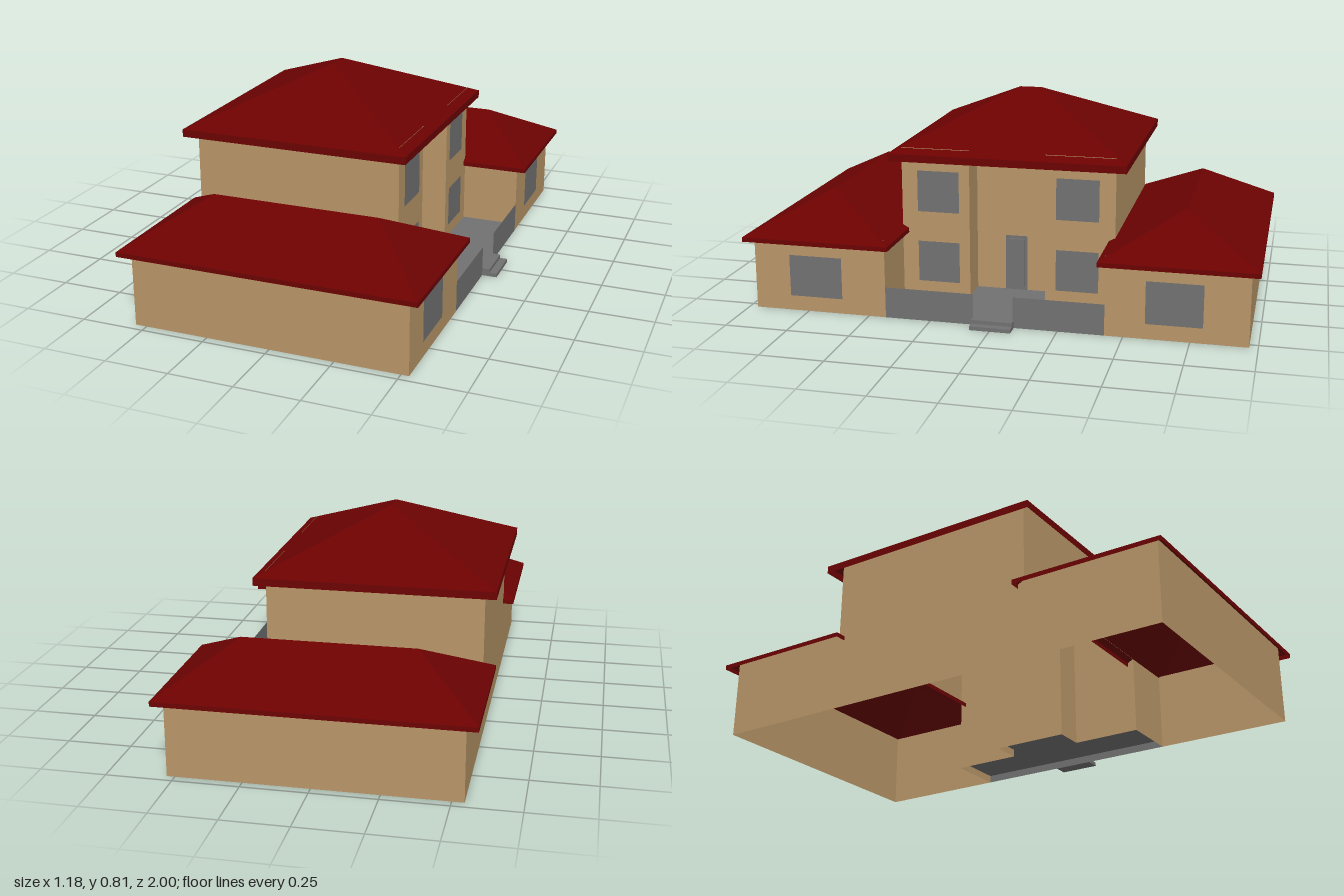
import * as THREE from 'three';

export function createModel() {
  const house = new THREE.Group();
  house.name = 'house';

  const wallMat = new THREE.MeshStandardMaterial({ name: 'tan wall', color: 0xb89668, side: THREE.DoubleSide });
  const roofMat = new THREE.MeshStandardMaterial({ name: 'dark red roof', color: 0x6c0202, side: THREE.DoubleSide });
  const greyMat = new THREE.MeshStandardMaterial({ name: 'grey stone and glass', color: 0x717171, side: THREE.DoubleSide });

  const add = (name, geometry, material) => {
    const mesh = new THREE.Mesh(geometry, material);
    mesh.name = name;
    house.add(mesh);
  };

  // Flat-faced geometry from convex faces given as corner lists
  const facets = (faces) => {
    const pos = [];
    for (const f of faces) {
      for (let i = 1; i < f.length - 1; i++) pos.push(...f[0], ...f[i], ...f[i + 1]);
    }
    const g = new THREE.BufferGeometry();
    g.setAttribute('position', new THREE.Float32BufferAttribute(pos, 3));
    g.computeVertexNormals();
    return g;
  };

  // Box given by its limits on each axis
  const block = (name, x0, x1, y0, y1, z0, z1) => {
    const g = new THREE.BoxGeometry(x1 - x0, y1 - y0, z1 - z0);
    g.translate((x0 + x1) / 2, (y0 + y1) / 2, (z0 + z1) / 2);
    add(name, g, greyMat);
  };

  // Upright sheet between two ground points, facing right of the walk from the second to the first
  const sheet = (name, x0, z0, x1, z1, y0, y1, material = wallMat) =>
    add(name, facets([[[x0, y0, z0], [x1, y0, z1], [x1, y1, z1], [x0, y1, z0]]]), material);

  // Sheet facing +x, such as a front wall or a pane
  const frontSheet = (name, x, za, zb, y0, y1, material) =>
    sheet(name, x, Math.max(za, zb), x, Math.min(za, zb), y0, y1, material);

  // Level floor sheet
  const floor = (name, x0, x1, y, z) =>
    add(name, facets([[[x0, y, z], [x1, y, z], [x1, y, -z], [x0, y, -z]]]), greyMat);

  // Hollow hipped roof: upright fascia and four slopes up to a ridge from p to q
  const hipRoof = (name, [x0, x1, z0, z1], yBase, yEave, p, q) => {
    const ring = (y) => [[x0, y, z1], [x1, y, z1], [x1, y, z0], [x0, y, z0]];
    const low = ring(yBase);
    const eave = ring(yEave);
    const faces = eave.map((e, i) => [low[i], low[(i + 1) % 4], eave[(i + 1) % 4], e]);
    const [a, b, c, d] = eave;
    if (p[0] !== q[0]) faces.push([a, b, q, p], [b, c, q], [c, d, p, q], [d, a, p]);
    else faces.push([a, b, q], [b, c, p, q], [c, d, p], [d, a, q, p]);
    add(name, facets(faces), roofMat);
  };

  const back = -0.545, front = 0.295, wingFront = 0.53, recess = 0.175;
  const mainZ = 0.43, wingZ = 0.967, recessZ = 0.153;
  const wingTop = 0.314, mainTop = 0.628; // walls run up to the inside of the roofs
  const pane = 0.001;

  // Main block
  sheet('main back wall', back, -mainZ, back, mainZ, 0, mainTop);
  frontSheet('recessed entrance wall', recess, recessZ, -recessZ, 0, mainTop);
  hipRoof('main roof', [-0.59, 0.335, -0.475, 0.475], 0.578, 0.608, [-0.1275, 0.814, -0.045], [-0.1275, 0.814, 0.045]);

  // Paired halves: wings, bays, windows and porch parapets
  for (const s of [1, -1]) {
    const side = s > 0 ? 'left' : 'right';
    // Side walls are walked in opposite directions so both face outward
    const sideWall = (name, xa, xb, z, y0, y1) =>
      sheet(side + name, s > 0 ? xa : xb, s * z, s > 0 ? xb : xa, s * z, y0, y1);

    sideWall(' main upper side wall', back, front, mainZ, 0.31, mainTop);
    sideWall(' recess side wall', front, recess, recessZ, 0, mainTop);
    frontSheet(side + ' bay wall', front, s * mainZ, s * recessZ, 0, mainTop);

    sideWall(' wing outer wall', back, wingFront, wingZ, 0, wingTop);
    sideWall(' wing porch wall', wingFront, front, mainZ, 0, 0.31);
    frontSheet(side + ' wing window wall', wingFront, s * wingZ, s * mainZ, 0, wingTop);
    sheet(side + ' wing back wall', back, s > 0 ? mainZ : -wingZ, back, s > 0 ? wingZ : -mainZ, 0, wingTop);
    const zs = s > 0 ? [0.405, 1] : [-1, -0.405];
    hipRoof(side + ' wing roof', [-0.59, 0.57, ...zs], 0.28, 0.298, [-0.338, 0.454, s * 0.704], [0.318, 0.454, s * 0.704]);

    const windowZ = s > 0 ? 0.715 : -0.69;
    frontSheet(side + ' wing window', wingFront + pane, windowZ - 0.1075, windowZ + 0.1075, 0.06, 0.227, greyMat);
    frontSheet(side + ' upper window', front + pane, s * 0.196, s * 0.366, 0.37, 0.537, greyMat);
    frontSheet(side + ' lower window', front + pane, s * 0.196, s * 0.366, 0.08, 0.247, greyMat);
    frontSheet(side + ' porch parapet', wingFront, s * 0.078, s * mainZ, 0, 0.123, greyMat);
  }

  // Porch floor, steps and door
  floor('porch floor', front, wingFront, 0.03, mainZ);
  floor('entrance floor', recess, front, 0.03, recessZ);
  block('upper step', wingFront, 0.56, 0, 0.03, -0.082, 0.078);
  block('lower step', 0.56, 0.59, 0, 0.015, -0.082, 0.078);
  frontSheet('door frame', recess + pane, -0.055, 0.035, 0.03, 0.258, greyMat);
  block('door panel', recess + pane, recess + 0.01, 0.045, 0.246, -0.042, 0.022);

  return house;
}
